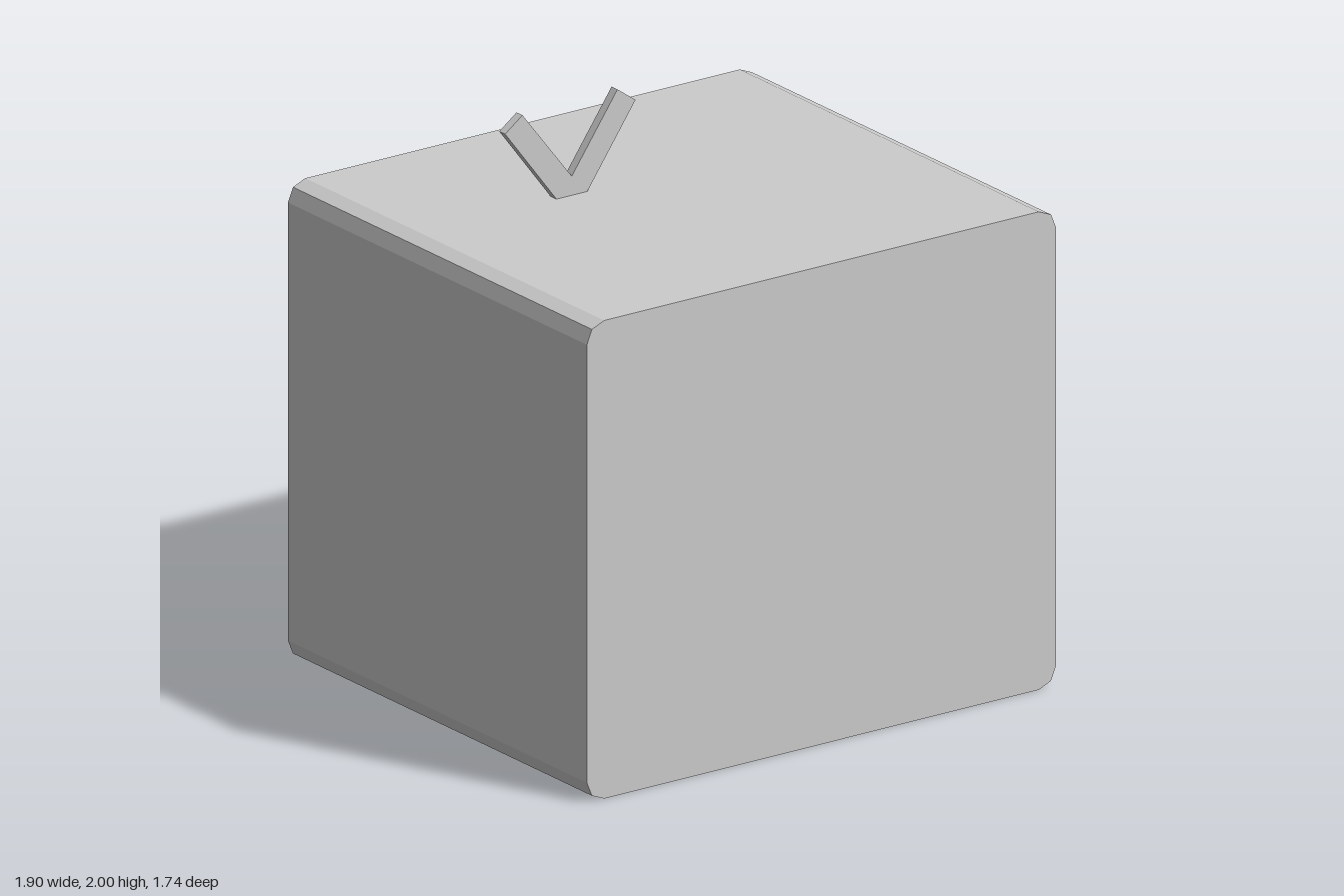
import * as THREE from 'three';

const grey = new THREE.MeshStandardMaterial({ color: 0xcccccc });
grey.name = 'plain grey';

// Rectangle outline with two-segment rounded corners (square corners when r is 0)
function panel(x, y0, y1, r, Type = THREE.Shape) {
  const pts = [];
  const corners = [[x - r, y1 - r], [-x + r, y1 - r], [-x + r, y0 + r], [x - r, y0 + r]];
  corners.forEach(([cx, cy], i) => {
    const steps = r > 0 ? 2 : 0;
    for (let k = 0; k <= steps; k++) {
      const a = (i + k / 2) * Math.PI / 2;
      pts.push(new THREE.Vector2(cx + r * Math.cos(a), cy + r * Math.sin(a)));
    }
  });
  return new Type(pts);
}

export function createModel() {
  const group = new THREE.Group();

  function add(name, geometry, x = 0, y = 0, z = 0, parent = group) {
    const mesh = new THREE.Mesh(geometry, grey);
    mesh.name = name;
    mesh.position.set(x, y, z);
    parent.add(mesh);
    return mesh;
  }
  const extrude = (shape, depth) => new THREE.ExtrudeGeometry(shape, { depth, bevelEnabled: false });
  const outline = () => panel(0.95, 0, 1.67, 0.07);

  // Cabinet in three layers: rim with two recesses, screen bezel, solid box
  const step = 0.035;
  const rim = outline();
  rim.holes.push(panel(0.88, 0.625, 1.59, 0, THREE.Path), panel(0.88, 0.06, 0.48, 0, THREE.Path));
  add('cabinetRim', extrude(rim, step), 0, 0, -0.8);

  const bezel = outline();
  bezel.holes.push(panel(0.82, 0.695, 1.53, 0.06, THREE.Path));
  add('screenBezel', extrude(bezel, step), 0, 0, -0.8 + step);

  add('cabinet', extrude(outline(), 1.67 - 2 * step), 0, 0, -0.8 + 2 * step);

  // Speaker grille bars
  for (let i = 0; i < 3; i++) {
    add('grilleBar', new THREE.BoxGeometry(0.675, 0.063, 0.06), 0, 0.187 + i * 0.101, -0.795);
  }

  // Ten-sided knobs with a grip bar
  for (const x of [-0.598, 0.58]) {
    const knob = new THREE.Group();
    knob.name = 'knob';
    knob.position.set(x, 0.297, 0);
    group.add(knob);
    const disc = new THREE.CylinderGeometry(0.121, 0.121, 0.076, 10).rotateX(-Math.PI / 2).toNonIndexed();
    disc.computeVertexNormals();
    add('knobDisc', disc, 0, 0, -0.802, knob);
    add('knobGrip', new THREE.BoxGeometry(0.065, 0.235, 0.032), 0, 0, -0.855, knob);
  }

  // V-shaped antenna
  const vee = new THREE.Shape([
    [-0.33, 1.67], [-0.205, 1.67], [-0.01, 1.948], [-0.083, 2.0],
    [-0.268, 1.737], [-0.468, 1.993], [-0.538, 1.942],
  ].map(([x, y]) => new THREE.Vector2(x, y)));
  add('antenna', extrude(vee, 0.033), 0, 0, -0.188);

  return group;
}
